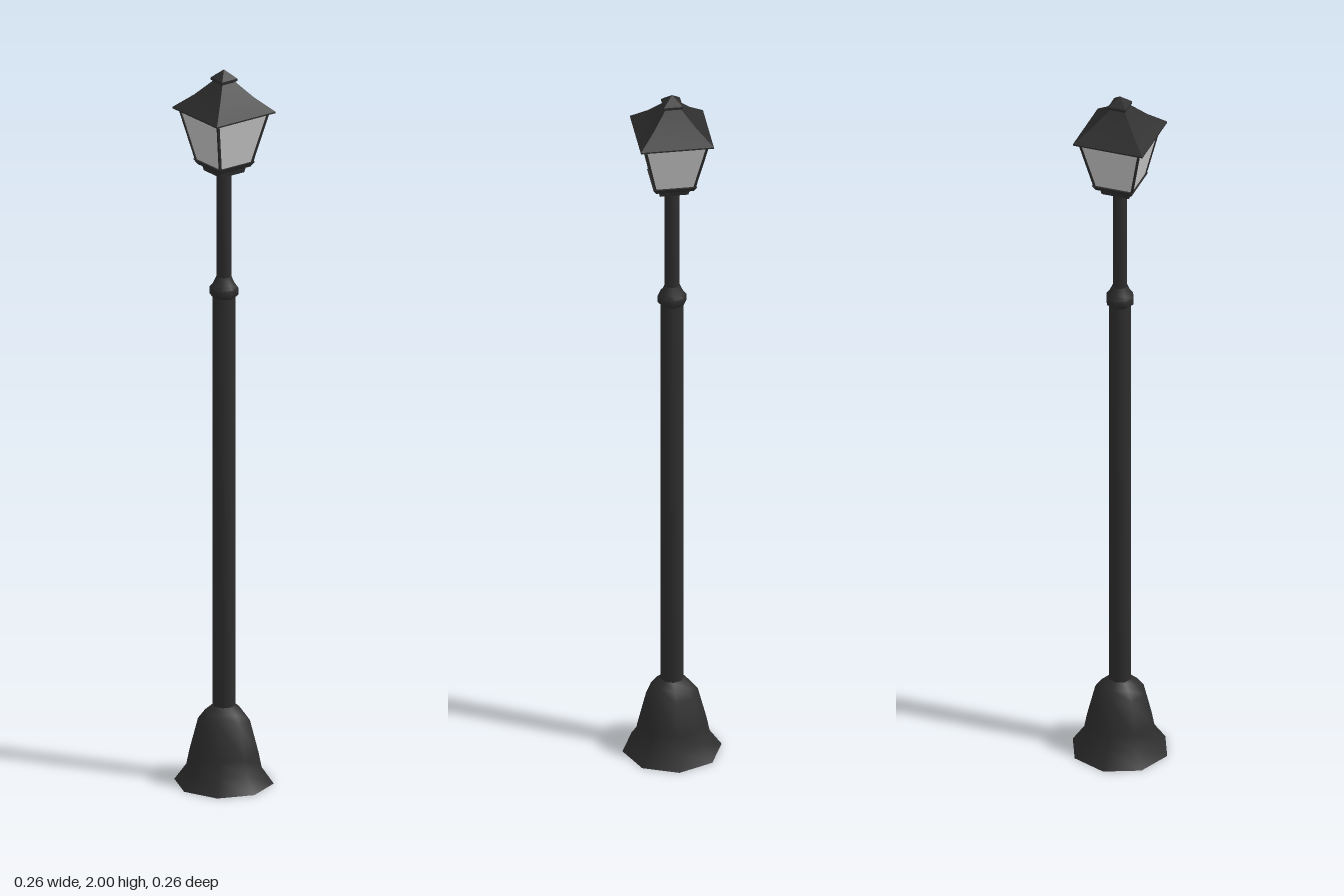
import * as THREE from 'three';
import { toCreasedNormals } from 'three/addons/utils/BufferGeometryUtils.js';

export function createModel() {
  const lamp = new THREE.Group();
  lamp.name = 'streetLamp';

  const iron = new THREE.MeshStandardMaterial({ color: 0x2e2e2e, side: THREE.DoubleSide });
  iron.name = 'blackIron';
  const pane = new THREE.MeshStandardMaterial({ color: 0xcccccc, side: THREE.DoubleSide });
  pane.name = 'frostedGlass';

  const add = (name, geometry, material = iron) => {
    const mesh = new THREE.Mesh(geometry, material);
    mesh.name = name;
    lamp.add(mesh);
    return mesh;
  };
  const points = (profile) => profile.map(([r, y]) => new THREE.Vector2(r, y));

  // Eight-sided turned part, smooth around its axis
  const turned = (name, profile) =>
    add(name, toCreasedNormals(new THREE.LatheGeometry(points(profile), 8), 0.9));

  // Four-sided part; each profile point is [half width, height]
  const square = (name, profile, material) => {
    const scaled = profile.map(([h, y]) => [h * Math.SQRT2, y]);
    const g = new THREE.LatheGeometry(points(scaled), 4).rotateY(Math.PI / 4);
    return add(name, toCreasedNormals(g, 0.6), material);
  };

  // Hollow flared foot
  turned('base', [[0.132, 0], [0.1, 0.045], [0.092, 0.085], [0.069, 0.175], [0.05, 0.2], [0.031, 0.216]]);

  // Post in two thicknesses with a collar between
  turned('lowerPost', [[0, 0.2], [0.031, 0.2], [0.031, 1.37]]);
  turned('collar', [[0.03, 1.362], [0.038, 1.369], [0.038, 1.389], [0.029, 1.4], [0.02, 1.42]]);
  turned('upperPost', [[0.02, 1.4], [0.02, 1.725]]);

  // Stepped lantern tray
  square('trayFoot', [[0, 1.714], [0.038, 1.714], [0.042, 1.733]]);
  square('tray', [[0, 1.731], [0.05, 1.731], [0.058, 1.745], [0, 1.745]]);

  // Tapered glass body
  const bottom = { h: 0.052, y: 1.744 };
  const top = { h: 0.084, y: 1.89 };
  square('glass', [[bottom.h, bottom.y], [top.h, top.y]], pane);

  // Corner bars along the glass edges
  for (const sx of [-1, 1]) {
    for (const sz of [-1, 1]) {
      const a = new THREE.Vector3(sx * bottom.h, bottom.y, sz * bottom.h);
      const b = new THREE.Vector3(sx * top.h, top.y, sz * top.h);
      const bar = add('cornerBar', new THREE.BoxGeometry(0.006, a.distanceTo(b), 0.006));
      bar.position.copy(a).lerp(b, 0.5);
      bar.quaternion.setFromUnitVectors(new THREE.Vector3(0, 1, 0), b.sub(a).normalize());
    }
  }

  // Slightly hollowed pyramid roof and its finial
  square('roof', [[0, 1.884], [0.097, 1.884], [0.097, 1.888], [0.056, 1.926], [0.02, 1.968]]);
  square('finial', [[0.017, 1.962], [0.025, 1.97], [0.025, 1.976], [0.017, 1.984], [0, 2]]);

  return lamp;
}
